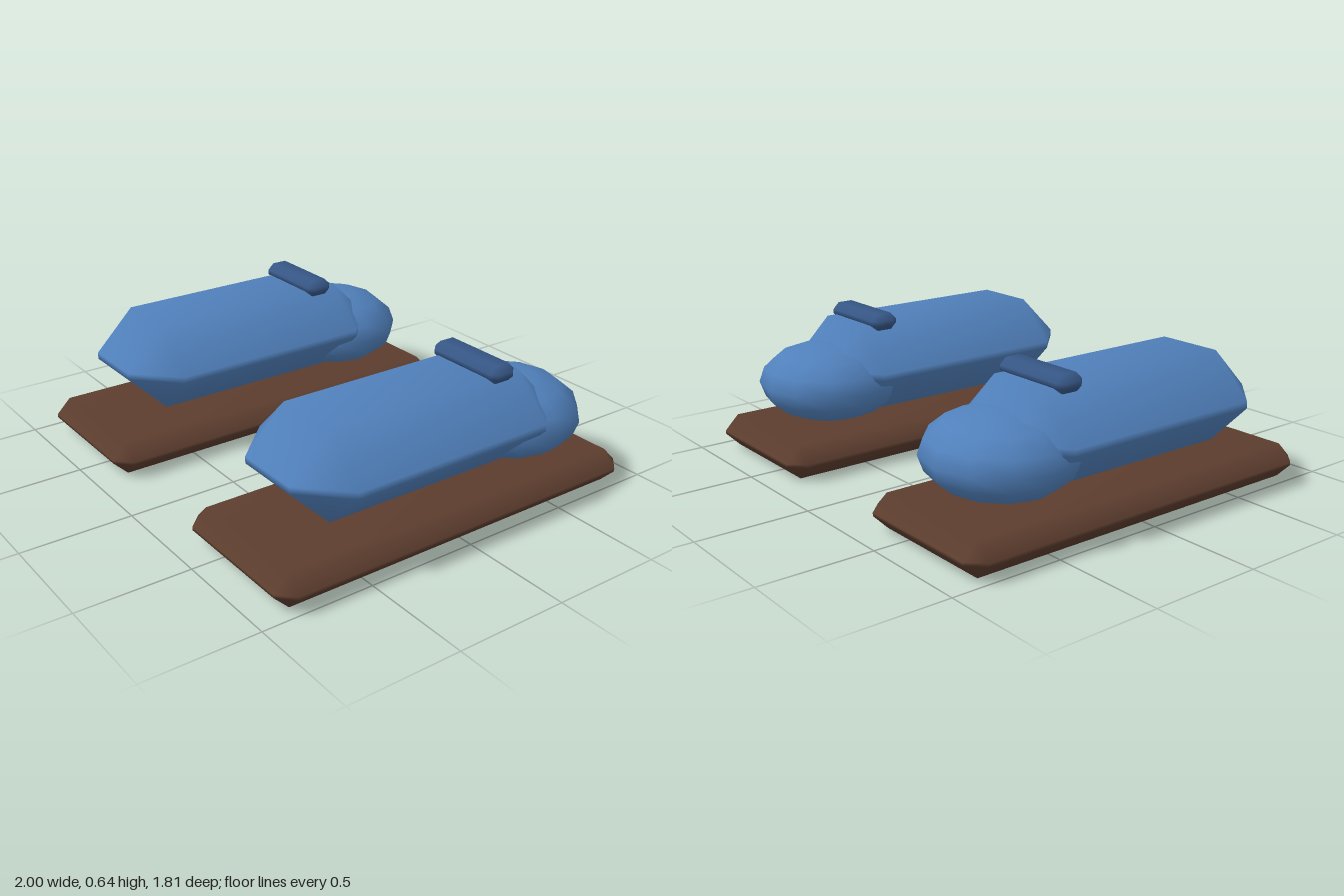
import * as THREE from 'three';
import { mergeVertices } from 'three/addons/utils/BufferGeometryUtils.js';
import { ConvexGeometry } from 'three/addons/geometries/ConvexGeometry.js';

// Box with every edge and corner cut by one bevel, shaded smoothly
function bevelBox(width, height, depth, bevel) {
  const half = [width / 2, height / 2, depth / 2];
  const points = [];
  for (const sx of [-1, 1]) for (const sy of [-1, 1]) for (const sz of [-1, 1]) {
    for (let axis = 0; axis < 3; axis++) {
      const p = half.map((h, i) => (i === axis ? h : h - bevel));
      points.push(new THREE.Vector3(p[0] * sx, p[1] * sy, p[2] * sz));
    }
  }
  const hull = new ConvexGeometry(points);
  hull.deleteAttribute('normal');
  const geometry = mergeVertices(hull, 1e-4);
  geometry.computeVertexNormals();
  return geometry;
}

function material(name, color) {
  const m = new THREE.MeshStandardMaterial({ color });
  m.name = name;
  return m;
}

export function createModel() {
  const blue = material('shoe blue', 0x5080bb);
  const darkBlue = material('strap dark blue', 0x365685);
  const brown = material('sole brown', 0x5c3d2e);

  // Shared geometry for both shoes
  const soleGeometry = bevelBox(0.72, 0.15, 1.81, 0.068);
  const upperGeometry = bevelBox(0.67, 0.4, 1.33, 0.185);
  const strapGeometry = bevelBox(0.4, 0.08, 0.13, 0.03);
  const capGeometry = new THREE.SphereGeometry(1, 12, 8);
  capGeometry.scale(0.335, 0.18, 0.32);

  const model = new THREE.Group();
  model.name = 'pairOfShoes';

  for (const [side, x] of [['left', 0.64], ['right', -0.64]]) {
    const shoe = new THREE.Group();
    shoe.name = side + 'Shoe';
    shoe.position.x = x;
    const add = (name, geometry, mat, y, z) => {
      const mesh = new THREE.Mesh(geometry, mat);
      mesh.name = name;
      mesh.position.set(0, y, z);
      shoe.add(mesh);
    };
    add('sole', soleGeometry, brown, 0.075, 0);
    add('upper', upperGeometry, blue, 0.393, 0.07);
    add('roundedCap', capGeometry, blue, 0.33, -0.5);
    add('strap', strapGeometry, darkBlue, 0.605, -0.3);
    model.add(shoe);
  }
  return model;
}
